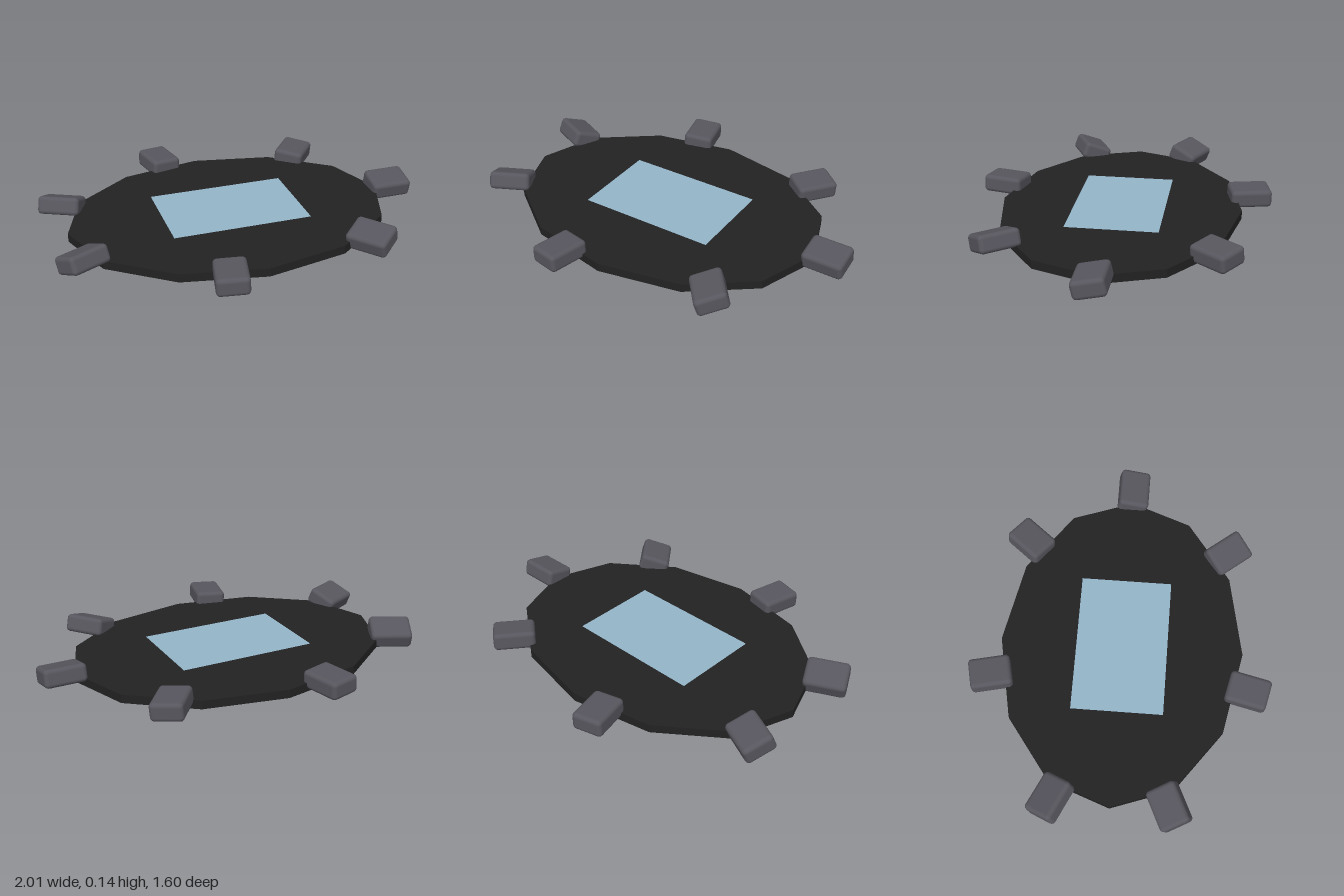
import * as THREE from 'three';
import { RoundedBoxGeometry } from 'three/addons/geometries/RoundedBoxGeometry.js';

const CENTRE_X = -0.04;

function material(name, color, options = {}) {
  const m = new THREE.MeshStandardMaterial({ color, ...options });
  m.name = name;
  return m;
}

export function createModel() {
  const model = new THREE.Group();
  model.name = 'stoneRingedPond';
  const black = material('dark bed', 0x222222, { flatShading: true });
  const blue = material('pale water', 0x93b4c8, { side: THREE.DoubleSide });
  const grey = material('grey stone', 0x57565e);

  // Twelve-sided oval bed, with a corner on each axis
  const bed = new THREE.Mesh(new THREE.CylinderGeometry(1, 1, 0.045, 12), black);
  bed.name = 'bed';
  bed.scale.set(0.86, 1, 0.645);
  bed.position.set(CENTRE_X, 0.04, 0);
  model.add(bed);

  // Flat sheet of water floating just above the bed
  const water = new THREE.Mesh(new THREE.PlaneGeometry(0.74, 0.485), blue);
  water.name = 'water';
  water.rotation.x = -Math.PI / 2;
  water.position.set(-0.035, 0.077, 0);
  model.add(water);

  // Seven rounded stones around the rim, each rolled about its radial axis
  const stoneGeometry = new RoundedBoxGeometry(0.22, 0.095, 0.165, 3, 0.022);
  const rolls = [0.22, 0.3, 0.04, 0.38, 0.38, 0.04, 0.1];
  rolls.forEach((roll, i) => {
    const angle = (i / rolls.length) * Math.PI * 2;
    const stone = new THREE.Mesh(stoneGeometry, grey);
    stone.name = `rimStone${i + 1}`;
    stone.position.set(CENTRE_X + 0.93 * Math.cos(angle), 0.078, 0.695 * Math.sin(angle));
    stone.rotation.set(roll, -angle, 0, 'YXZ');
    model.add(stone);
  });

  return model;
}
